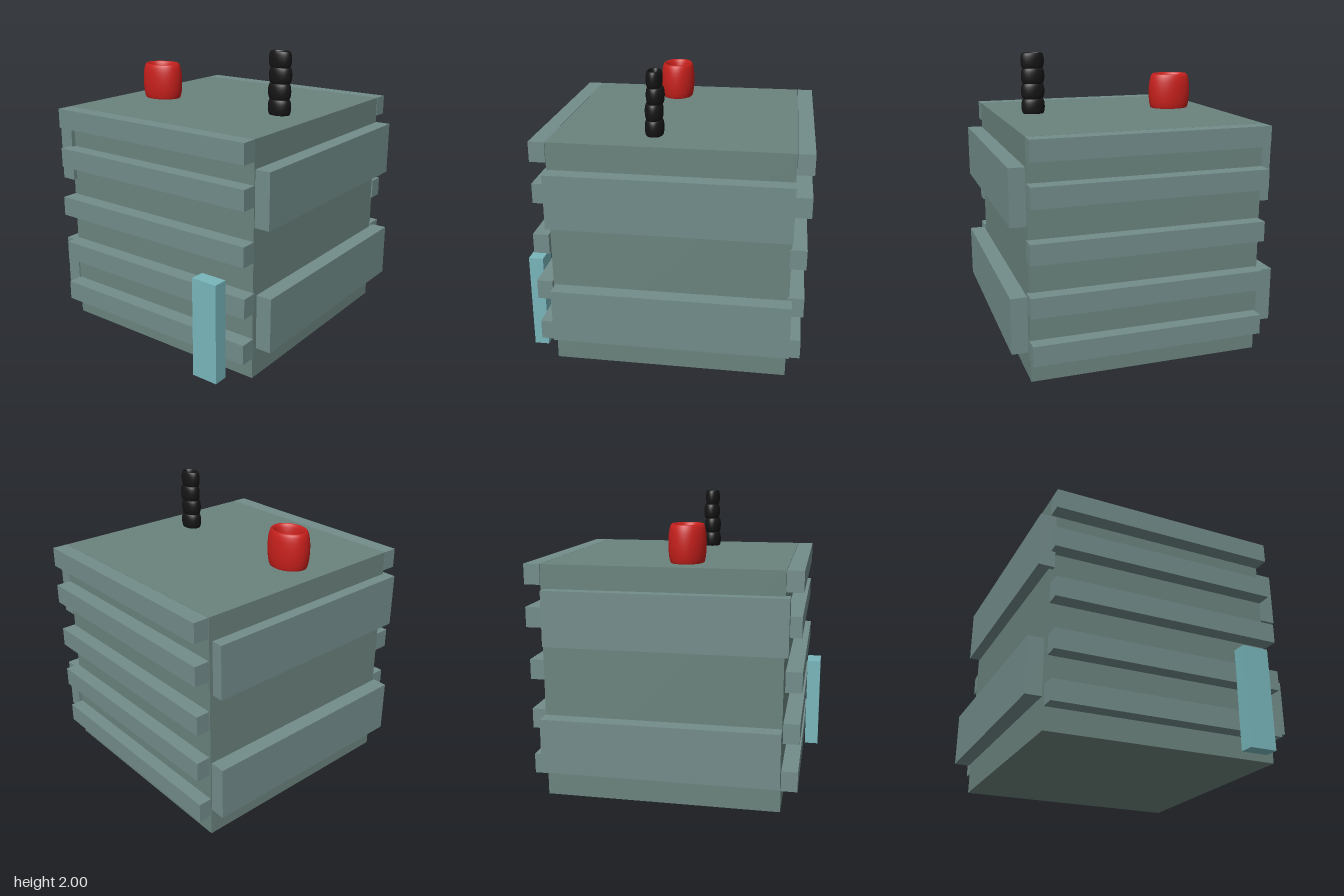
import * as THREE from 'three';

const mat = (color) => new THREE.MeshStandardMaterial({ color });

export function createModel() {
  const model = new THREE.Group();
  const bodyMat = mat(0x6b837d), slatMat = mat(0x728c8a), boardMat = mat(0x78b6bb);
  const redMat = mat(0xc8201c), blackMat = mat(0x151515);

  // Box given by its extents along each axis
  const box = (name, material, [x0, x1], [y0, y1], [z0, z1]) => {
    const mesh = new THREE.Mesh(new THREE.BoxGeometry(x1 - x0, y1 - y0, z1 - z0), material);
    mesh.position.set((x0 + x1) / 2, (y0 + y1) / 2, (z0 + z1) / 2);
    mesh.name = name;
    model.add(mesh);
  };

  // Upright oval ring: a torus squashed in depth and stretched in height
  const ring = (name, material, radius, tube, height, depthScale, x, y, z) => {
    const geo = new THREE.TorusGeometry(radius, tube, 20, 48).rotateX(-Math.PI / 2);
    geo.scale(1, height / (2 * tube), depthScale);
    const mesh = new THREE.Mesh(geo, material);
    mesh.position.set(x, y, z);
    mesh.name = name;
    model.add(mesh);
  };

  box('crateBody', bodyMat, [-0.795, 0.78], [0, 1.58], [-0.835, 0.74]);

  // Narrow slats: bottom height, x shift, front z, back z
  [
    [1.445, 0, 0.742, -0.945],
    [1.162, 0, 0.738, -0.945],
    [0.808, 0.008, 0.75, -0.932],
    [0.466, 0.012, 0.744, -0.932],
    [0.146, 0.003, 0.74, -0.927],
  ].forEach(([y, dx, zf, zb]) => {
    const xs = [-0.795 + dx, 0.782 + dx], ys = [y, y + 0.135];
    box('frontSlat', slatMat, xs, ys, [zf, zf + 0.107]);
    box('backSlat', slatMat, xs, ys, [zb, zb + 0.107]);
  });

  // Wide side planks
  box('leftUpperPlank', slatMat, [0.785, 0.89], [1.03, 1.398], [-0.838, 0.738]);
  box('leftLowerPlank', slatMat, [0.797, 0.904], [0.215, 0.584], [-0.853, 0.725]);
  box('rightUpperPlank', slatMat, [-0.873, -0.768], [1.052, 1.42], [-0.81, 0.77]);
  box('rightLowerPlank', slatMat, [-0.91, -0.805], [0.203, 0.571], [-0.835, 0.741]);

  // Loose board leaning on the front
  box('frontBoard', boardMat, [0.465, 0.65], [0.01, 0.69], [0.85, 0.95]);

  // Cup and stack of rings on the lid
  ring('redRing', redMat, 0.125, 0.03, 0.264, 0.8, -0.515, 1.698, 0.078);
  [[1.63, 0.082, 1], [1.737, 0.084, 0.95], [1.843, 0.076, 0.95], [1.948, 0.082, 0.84]]
    .forEach(([y, z, s]) => ring('blackRing', blackMat, 0.066, 0.017, 0.108, 0.76 * s, 0.518, y, z));

  return model;
}
